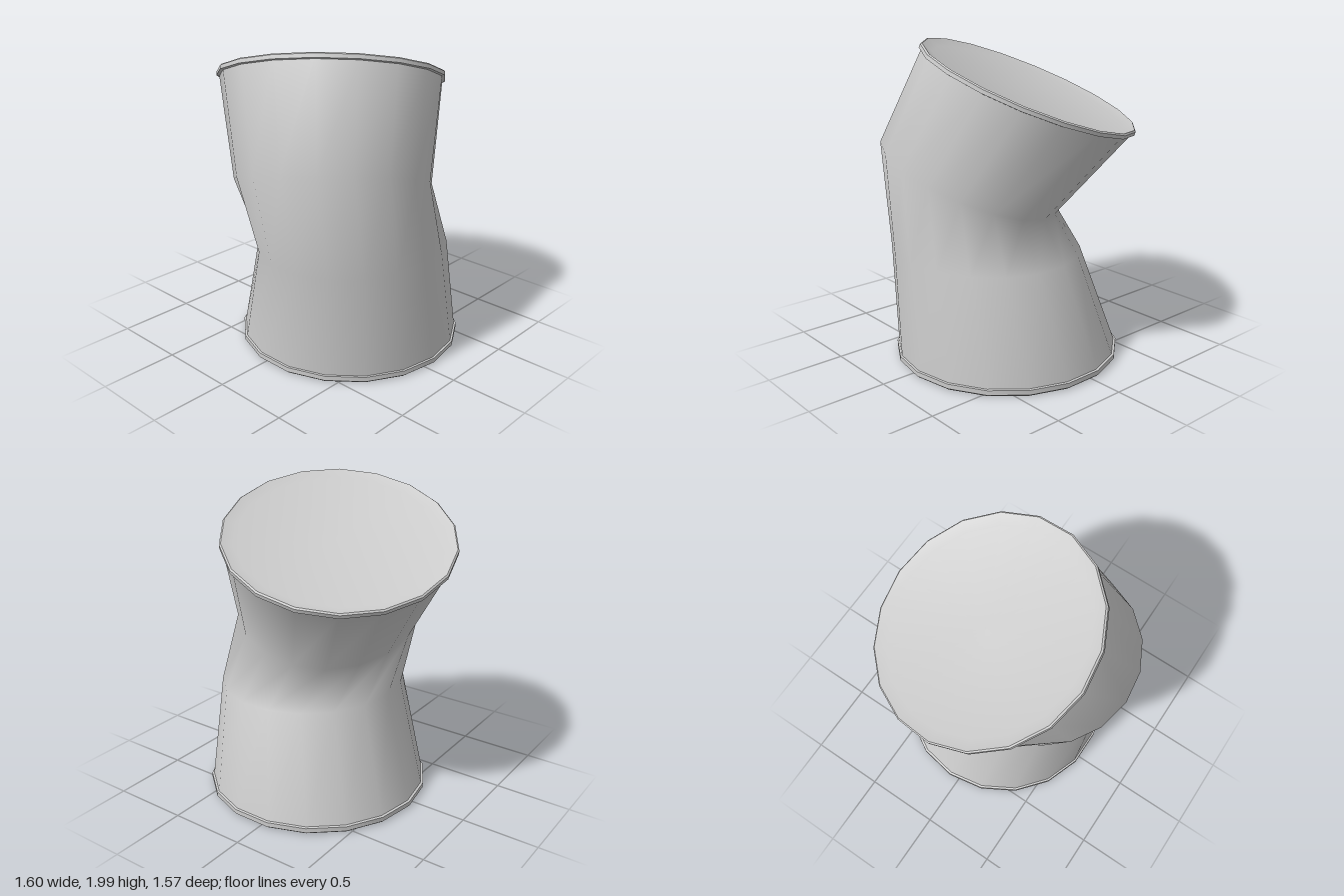
import * as THREE from 'three';
import { toCreasedNormals } from 'three/addons/utils/BufferGeometryUtils.js';

const SIDES = 18;
const UP = new THREE.Vector3(0, 1, 0);
const TILT = new THREE.Quaternion().setFromUnitVectors(UP, new THREE.Vector3(-0.26, 1, -0.31).normalize());
const FLAT = new THREE.Quaternion();
const TWIST = THREE.MathUtils.degToRad(-5.5);
const TOP = new THREE.Vector3(-0.106, 1.728, -0.085); // centre of the upper lip

// Skin a closed tube over oval rings, each with its own centre, tilt and radii
function loft(rings) {
  const positions = [], index = [];
  rings.forEach(({ center, tilt, rx, rz, phase }, j) => {
    for (let i = 0; i < SIDES; i++) {
      const a = phase + (i / SIDES) * Math.PI * 2;
      const p = new THREE.Vector3(Math.cos(a) * rx, 0, Math.sin(a) * rz);
      p.applyQuaternion(tilt).add(center);
      positions.push(p.x, p.y, p.z);
      if (j === 0) continue;
      const next = (i + 1) % SIDES, lo = (j - 1) * SIDES, hi = j * SIDES;
      index.push(lo + i, hi + i, lo + next, lo + next, hi + i, hi + next);
    }
  });
  const g = new THREE.BufferGeometry();
  g.setAttribute('position', new THREE.Float32BufferAttribute(positions, 3));
  g.setIndex(index);
  g.computeVertexNormals();
  return g;
}

// Turned end piece whose corners line up with the pipe's sides
function endPiece(profile, phase) {
  const points = profile.map(([r, y]) => new THREE.Vector2(r, y));
  const lathe = new THREE.LatheGeometry(points, SIDES, Math.PI / 2 - phase);
  return toCreasedNormals(lathe, 0.6);
}

export function createModel() {
  const group = new THREE.Group();
  const material = new THREE.MeshStandardMaterial({ color: 0xcccccc, side: THREE.DoubleSide });
  const add = (name, geometry) => {
    const mesh = new THREE.Mesh(geometry, material);
    mesh.name = name;
    group.add(mesh);
    return mesh;
  };

  // Bent pipe, pinched at the two middle rings
  const underLip = new THREE.Vector3(0, -0.03, 0).applyQuaternion(TILT).add(TOP);
  add('pipeBody', loft([
    { center: new THREE.Vector3(0.075, 0.035, -0.07), tilt: FLAT, rx: 0.712, rz: 0.712, phase: 0 },
    { center: new THREE.Vector3(0.177, 0.7, 0.02), tilt: FLAT, rx: 0.588, rz: 0.628, phase: 0 },
    { center: new THREE.Vector3(0.17, 1.145, 0.19), tilt: TILT, rx: 0.59, rz: 0.627, phase: TWIST },
    { center: underLip, tilt: TILT, rx: 0.707, rz: 0.707, phase: TWIST },
  ]));

  // Flat closed base with a bevelled flange
  const base = add('baseFlange', endPiece(
    [[0, 0.005], [0.665, 0.005], [0.67, 0], [0.71, 0], [0.724, 0.012], [0.724, 0.042], [0.705, 0.046]], 0));
  base.position.set(0.075, 0, -0.07);

  // Tilted upper lip with a broad rim sloping gently to the flat end
  const lip = add('upperLip', endPiece(
    [[0.7, -0.038], [0.724, -0.032], [0.724, -0.008], [0.714, 0], [0.64, -0.025], [0, -0.025]], TWIST));
  lip.quaternion.copy(TILT);
  lip.position.copy(TOP);

  return group;
}
